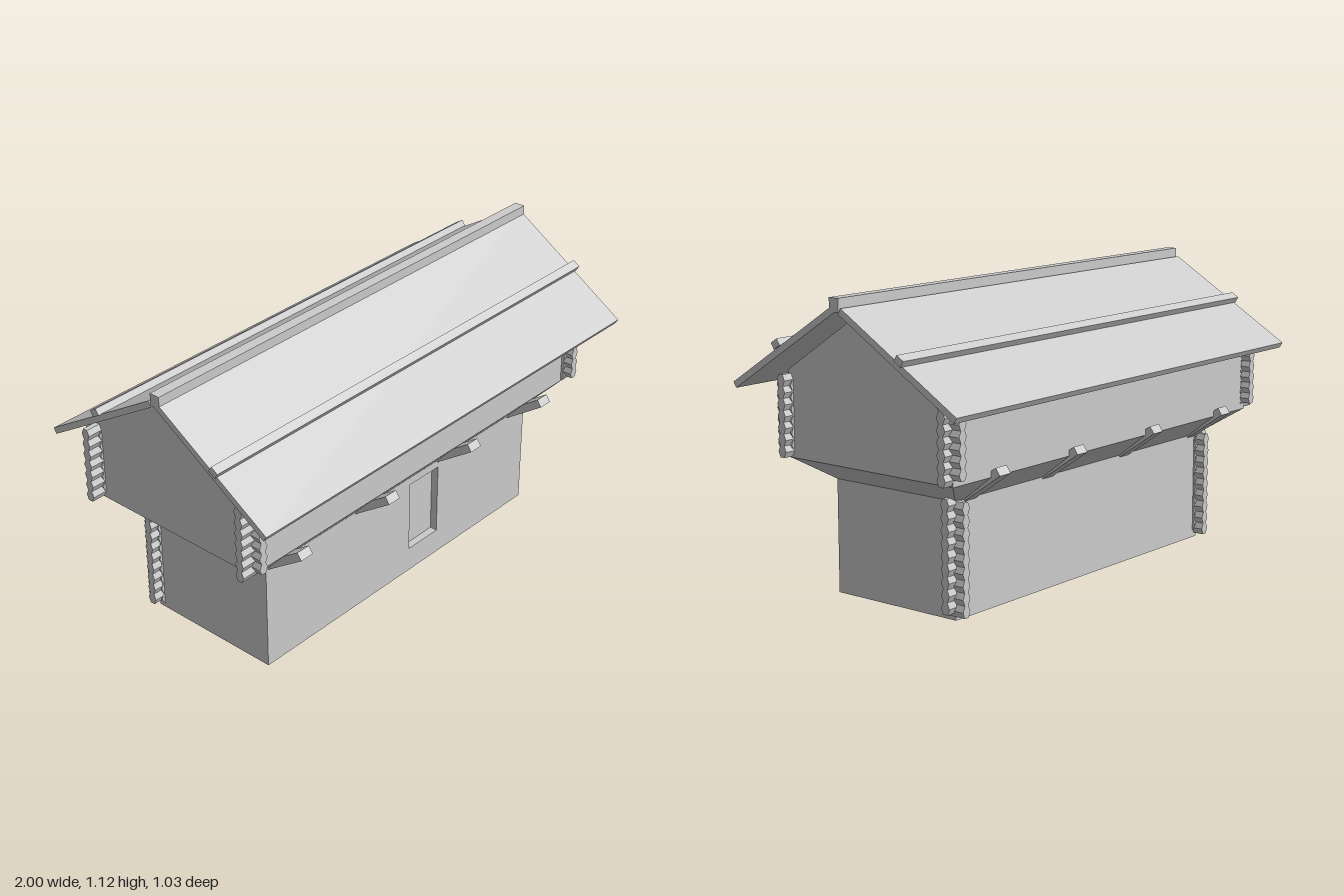
import * as THREE from 'three';

const solid = new THREE.MeshStandardMaterial({ color: 0xcccccc, flatShading: true });
const thin = new THREE.MeshStandardMaterial({ color: 0xcccccc, flatShading: true, side: THREE.DoubleSide });

function add(parent, name, geometry, material = solid) {
  const mesh = new THREE.Mesh(geometry, material);
  mesh.name = name;
  parent.add(mesh);
  return mesh;
}

// Flat convex polygon, corners counter-clockwise seen from outside
function face(points) {
  const g = new THREE.BufferGeometry().setFromPoints(points.map((p) => new THREE.Vector3(...p)));
  const index = [];
  for (let i = 1; i < points.length - 1; i++) index.push(0, i, i + 1);
  g.setIndex(index);
  g.computeVertexNormals();
  return g;
}

// Upright front wall with rectangular openings [x0, x1, y0, y1]
function frontWall(x0, x1, y0, y1, z, openings) {
  const rect = (P, a, b, c, d) => new P([[a, c], [b, c], [b, d], [a, d]].map((p) => new THREE.Vector2(...p)));
  const shape = rect(THREE.Shape, x0, x1, y0, y1);
  openings.forEach((o) => shape.holes.push(rect(THREE.Path, ...o)));
  return new THREE.ShapeGeometry(shape).translate(0, 0, z);
}

// Open-fronted niche behind an opening, with an optional sloping sill
function recess([x0, x1, y0, y1], z, depth, sill = 0) {
  const g = new THREE.BoxGeometry(x1 - x0, y1 - y0, depth);
  g.translate((x0 + x1) / 2, (y0 + y1) / 2, z - depth / 2);
  g.setIndex([...g.index.array].filter((_, i) => i < 24 || i >= 30));
  const p = g.attributes.position;
  for (let i = 0; i < p.count; i++) {
    if (p.getZ(i) < z - depth / 2 && p.getY(i) < (y0 + y1) / 2) p.setY(i, y0 + sill);
  }
  return g;
}

// Plank along x; its underside runs from p to q, given as [z, y]
function plank(p, q, thickness, x0, x1) {
  const dz = q[0] - p[0], dy = q[1] - p[1];
  const k = (thickness * Math.sign(dz)) / Math.hypot(dz, dy);
  const n = [-dy * k, dz * k];
  const corners = [p, q, [q[0] + n[0], q[1] + n[1]], [p[0] + n[0], p[1] + n[1]]];
  const shape = new THREE.Shape(corners.map(([z, y]) => new THREE.Vector2(-z, y)));
  const g = new THREE.ExtrudeGeometry(shape, { depth: x1 - x0, bevelEnabled: false });
  return g.rotateY(Math.PI / 2).translate(x0, 0, 0);
}

// Interlocking hexagonal log ends at a corner, from inner (xi, zi) to outer (xo, zo)
function logCorner(parent, name, xi, xo, zi, zo, base, count, pitch, shift, crossCount) {
  const group = new THREE.Group();
  group.name = name;
  parent.add(group);
  const w = 0.038;
  const log = (length) => new THREE.CylinderGeometry(w / 2, w / 2, length, 6)
    .rotateZ(Math.PI / 2).scale(1, pitch / (w * 0.866), 1);
  const xLog = log(Math.abs(xo - xi));
  const zLog = log(Math.abs(zo - zi)).rotateY(Math.PI / 2);
  const zc = zi + Math.sign(zo - zi) * w / 2;
  const xc = xi + Math.sign(xo - xi) * w / 2;
  for (let i = 0; i < count; i++) {
    add(group, 'sideLogEnd', xLog).position.set((xi + xo) / 2, base + (i + 0.5) * pitch, zc);
  }
  for (let i = 0; i < crossCount; i++) {
    add(group, 'crossLogEnd', zLog).position.set(xc, base + (i + 0.5 + shift) * pitch, (zi + zo) / 2);
  }
}

export function createModel() {
  const model = new THREE.Group();
  model.name = 'logStorehouse';

  // Body outline: corners run front left, front right, back right, back left as drawn
  const ring = (x0, x1, z0, z1, y) => [[x0, y, z1], [x1, y, z1], [x1, y, z0], [x0, y, z0]];
  const L = [-0.755, 0.722, -0.276, 0.281];
  const U = [-0.905, 0.87, -0.395, 0.365];
  const foot = ring(...L, 0), neck = ring(...L, 0.422), shelf = ring(...U, 0.515);
  const sides = ['front', 'left', 'back', 'right'];
  sides.forEach((side, i) => {
    const j = (i + 1) % 4;
    if (i) add(model, side + 'LowerWall', face([foot[i], foot[j], neck[j], neck[i]]), thin);
    add(model, side + 'Overhang', face([neck[i], neck[j], shelf[j], shelf[i]]), thin);
  });

  // Lower front wall with its doorway
  const door = [0.025, 0.19, 0.1, 0.39];
  add(model, 'frontLowerWall', frontWall(L[0], L[1], 0, 0.422, L[3], [door]), thin);
  add(model, 'door', recess(door, L[3], 0.03), thin);

  // Upper front wall with two small windows
  const windows = [[-0.445, -0.3, 0.643, 0.695], [0.343, 0.487, 0.643, 0.695]];
  add(model, 'frontUpperWall', frontWall(U[0], U[1], 0.515, 0.83, U[3], windows), thin);
  windows.forEach((w) => add(model, 'window', recess(w, U[3], 0.03, 0.012), thin));

  // Upper back wall and gables
  const backTop = 0.815;
  add(model, 'backUpperWall', face([shelf[2], shelf[3], [U[0], backTop, U[2]], [U[1], backTop, U[2]]]), thin);
  const gable = (x) => [[x, 0.515, U[3]], [x, 0.515, U[2]], [x, backTop, U[2]], [x, 1.07, 0], [x, 0.83, U[3]]];
  add(model, 'leftGable', face(gable(U[1])), thin);
  add(model, 'rightGable', face(gable(U[0]).reverse()), thin);

  // Roof slopes, ridge beam and weighting poles
  add(model, 'frontRoof', plank([0.505, 0.765], [0.01, 1.08], 0.024, -0.99, 0.99));
  add(model, 'backRoof', plank([-0.504, 0.762], [0.002, 1.07], 0.024, -0.99, 0.99));
  add(model, 'ridgeBeam', plank([0, 1.076], [0.042, 1.076], 0.048, -0.99, 0.99));
  add(model, 'frontRoofPole', plank([0.3, 0.923], [0.272, 0.941], 0.026, -1, 1));
  add(model, 'backRoofPole', plank([-0.285, 0.922], [-0.256, 0.94], 0.026, -1, 1));

  // Slanted brackets under the overhang, front and back
  for (const x of [-0.715, -0.255, 0.213, 0.645]) {
    add(model, 'frontBracket', plank([0.275, 0.41], [0.44, 0.525], 0.032, x - 0.029, x + 0.029));
    add(model, 'backBracket', plank([-0.27, 0.41], [-0.434, 0.525], 0.032, x - 0.029, x + 0.029));
  }

  // Log corners: all four upstairs, the two rear ones downstairs
  for (const [side, xi, xo] of [['left', 0.845, 0.912], ['right', -0.878, -0.963]]) {
    logCorner(model, side + 'FrontUpperLogs', xi, xo, 0.343, 0.412, 0.52, 7, 0.0425, 0.5, 6);
    logCorner(model, side + 'BackUpperLogs', xi, xo, -0.36, -0.434, 0.52, 7, 0.0425, 0.5, 6);
  }
  for (const [side, xi, xo] of [['left', 0.7, 0.77], ['right', -0.73, -0.8]]) {
    logCorner(model, side + 'BackLowerLogs', xi, xo, -0.25, -0.322, 0.03, 9, 0.0455, -0.3, 9);
  }
  return model;
}
